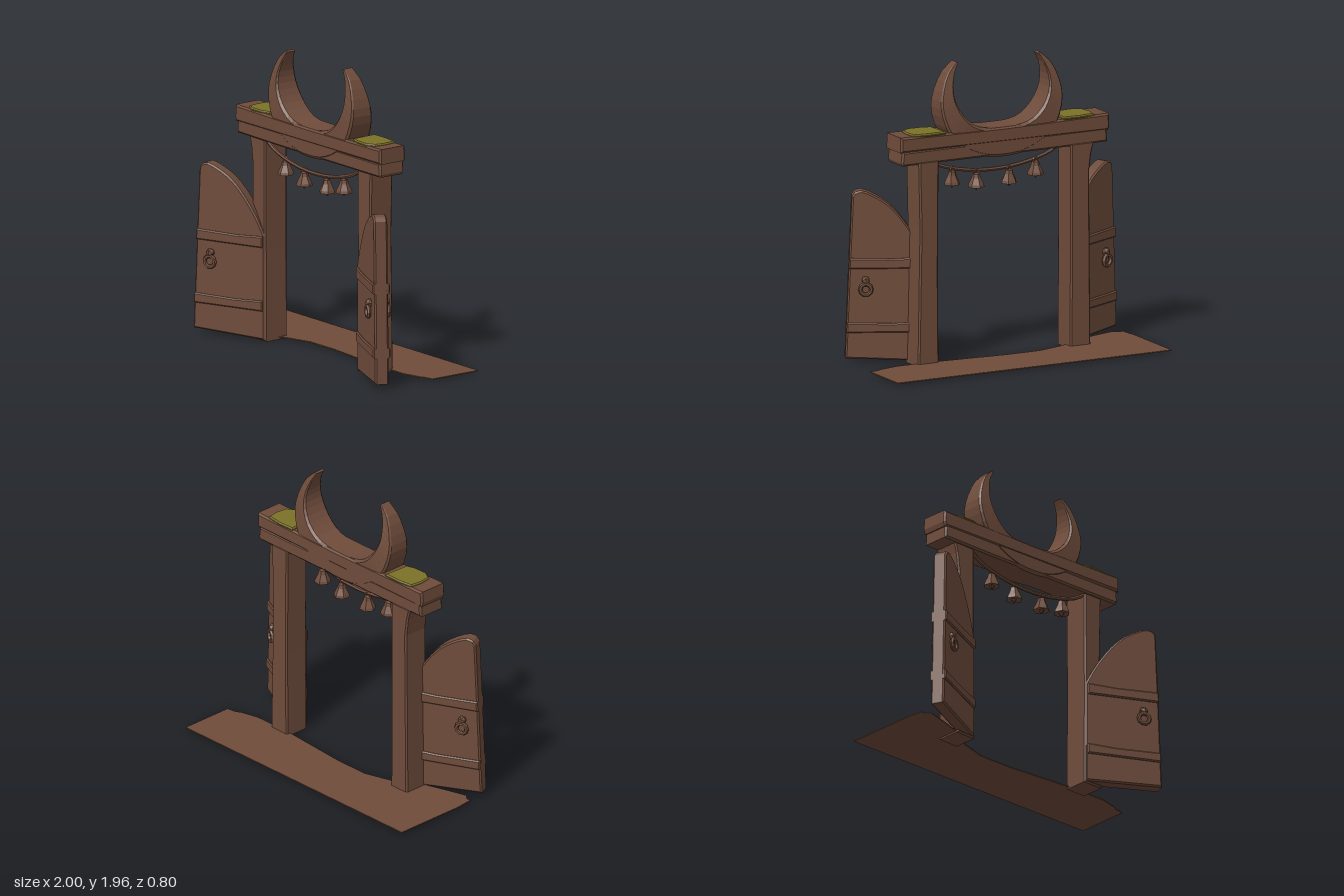
import * as THREE from 'three';

const mat = (name, color) => {
  const m = new THREE.MeshStandardMaterial({ color, flatShading: true });
  m.name = name;
  return m;
};
const V2 = (p) => new THREE.Vector2(p[0], p[1]);

export function createModel() {
  const model = new THREE.Group();
  model.name = 'moonGate';
  const wood = mat('brown wood', 0x6f4c3b);
  const moss = mat('olive moss', 0x7b7128);

  const add = (parent, name, geo, material, x = 0, y = 0, z = 0) => {
    const mesh = new THREE.Mesh(geo, material);
    mesh.name = name;
    mesh.position.set(x, y, z);
    parent.add(mesh);
    return mesh;
  };
  // Chamfered slab: outline in xy, reaching from z0 to z1
  const slab = (points, z0, z1, bevel = 0.01) => {
    const geo = new THREE.ExtrudeGeometry(new THREE.Shape(points.map(V2)), {
      depth: z1 - z0 - 2 * bevel, bevelEnabled: bevel > 0, bevelSegments: 1,
      bevelSize: bevel, bevelThickness: bevel, bevelOffset: -bevel,
    });
    return geo.translate(0, 0, z0 + bevel);
  };
  // Flat sheet: outline in xz, reaching from y0 to y1
  const sheet = (points, y0, y1, bevel = 0) =>
    slab(points.map(([x, z]) => [x, -z]), y0, y1, bevel).rotateX(-Math.PI / 2);

  // Ragged ground sheet
  add(model, 'groundSheet', sheet([
    [-1, -0.4], [1, -0.4], [1, -0.03], [0.94, -0.02], [0.9, 0], [0.78, 0.03], [0.5, 0.03],
    [0.25, 0.01], [0, -0.01], [-0.25, -0.01], [-0.45, 0.05], [-0.6, 0.15], [-0.78, 0.21],
    [-0.92, 0.25], [-0.96, 0.22], [-0.985, 0.23], [-1, 0.1],
  ], 0.011, 0.018), wood);

  // Posts
  add(model, 'rightPost', slab([
    [-0.48, 0], [-0.485, 0.6], [-0.485, 1.35], [-0.655, 1.35], [-0.635, 1.27], [-0.62, 1.15], [-0.63, 0],
  ], 0, 0.18), wood);
  add(model, 'leftPost', slab([
    [0.48, 0], [0.485, 0.6], [0.48, 1.35], [0.625, 1.35], [0.615, 0.9], [0.63, 0],
  ], 0, 0.18), wood);

  // Beam with a shallow split along its length
  add(model, 'beamLower', slab([
    [-0.755, 1.335], [-0.4, 1.33], [0.74, 1.33], [0.75, 1.35], [0.742, 1.425], [-0.75, 1.43],
  ], 0.004, 0.2, 0.012), wood);
  add(model, 'beamUpper', slab([
    [-0.76, 1.41], [-0.77, 1.44], [-0.765, 1.52], [0, 1.512], [0.755, 1.52], [0.758, 1.42],
  ], 0, 0.207, 0.012), wood);

  // Moss pads on the beam
  for (const side of [-1, 1]) {
    const pad = [[0.43, 0.0], [0.55, -0.004], [0.66, 0.01], [0.672, 0.09], [0.66, 0.17],
      [0.6, 0.205], [0.5, 0.2], [0.44, 0.18]];
    add(model, 'mossPad', sheet(pad.map(([x, z]) => [side * x, z]), 1.508, 1.53, 0.008), moss);
  }

  // Crescent swept from tip to tip, tapering in depth towards the tips
  const mirrored = (half) => new THREE.SplineCurve(
    [...half, ...half.slice(0, -1).reverse().map(([x, y]) => [-x, y])].map(V2));
  const outer = mirrored([[-0.306, 1.958], [-0.385, 1.88], [-0.437, 1.74], [-0.437, 1.62],
    [-0.38, 1.48], [-0.27, 1.385], [-0.13, 1.33], [0, 1.318]]);
  const inner = mirrored([[-0.292, 1.95], [-0.33, 1.88], [-0.35, 1.79], [-0.337, 1.7],
    [-0.285, 1.61], [-0.2, 1.54], [-0.1, 1.515], [0, 1.51]]);
  const section = [[1, 0.85], [0.9, 1], [0.1, 1], [0, 0.85], [0, -0.85], [0.1, -1], [0.9, -1], [1, -0.85]];
  const n = section.length, steps = 32, pos = [], idx = [];
  for (let i = 0; i <= steps; i++) {
    const o = outer.getPoint(i / steps), c = inner.getPoint(i / steps);
    const u = THREE.MathUtils.clamp(((o.y + c.y) / 2 - 1.5) / 0.45, 0, 1);
    const half = 0.1 - 0.066 * Math.pow(u, 1.7), zc = 0.103 + 0.015 * u;
    for (const [p, q] of section) {
      pos.push(o.x + (c.x - o.x) * p, o.y + (c.y - o.y) * p, zc + q * half);
    }
    if (i === steps) continue;
    for (let j = 0; j < n; j++) {
      const a = i * n + j, b = i * n + (j + 1) % n;
      idx.push(a, b, a + n, b, b + n, a + n);
    }
  }
  for (let j = 1; j < n - 1; j++) {
    idx.push(0, j + 1, j, steps * n, steps * n + j, steps * n + j + 1);
  }
  const moon = new THREE.BufferGeometry();
  moon.setAttribute('position', new THREE.Float32BufferAttribute(pos, 3));
  moon.setIndex(idx);
  moon.computeVertexNormals();
  add(model, 'crescent', moon, wood);

  // Open doors, swung forward from the posts
  for (const side of [-1, 1]) {
    const door = new THREE.Group();
    door.name = side > 0 ? 'leftDoor' : 'rightDoor';
    door.position.set(side * 0.487, 0, 0.185);
    door.rotation.y = -side * 0.427;
    model.add(door);
    const arch = new THREE.SplineCurve([[0.455, 1.125], [0.4, 1.135], [0.286, 1.08], [0.2, 1.01],
      [0.12, 0.91], [0.05, 0.8], [0, 0.7]].map(V2)).getPoints(14).map((p) => [p.x, p.y]);
    const outline = [[0, 0.01], [0.515, 0.035], [0.505, 0.3], [0.487, 0.75], [0.472, 1.1], ...arch];
    const flip = (pts) => pts.map(([x, y]) => [side * x, y]);
    add(door, 'doorPanel', slab(flip(outline), -0.09, 0, 0.01), wood);
    // Straps wrapping both faces
    for (const [y0, y1, end] of [[0.2, 0.27, 0.508], [0.62, 0.695, 0.492]]) {
      add(door, 'strap', slab(flip([[0.01, y0], [end, y0 + 0.005], [end - 0.003, y1], [0.2, y1 - 0.008],
        [0.01, y1]]), -0.102, 0.012, 0.008), wood);
    }
    // Ring pulls on both faces
    for (const z of [0.008, -0.098]) {
      const face = Math.sign(z);
      add(door, 'pullKnob', new THREE.IcosahedronGeometry(0.03, 0), wood, side * 0.385, 0.548, z);
      add(door, 'pullRing', new THREE.TorusGeometry(0.036, 0.014, 6, 10), wood,
        side * 0.385, 0.492, z + face * 0.012);
    }
  }

  // Sagging rope
  const rope = new THREE.CatmullRomCurve3([[-0.49, 1.33], [-0.42, 1.285], [-0.28, 1.24], [-0.1, 1.212],
    [0.1, 1.212], [0.28, 1.24], [0.42, 1.285], [0.49, 1.33]].map(([x, y]) => new THREE.Vector3(x, y, 0.155)));
  add(model, 'rope', new THREE.TubeGeometry(rope, 24, 0.013, 6), wood);

  // Bells with pointed clappers
  const bellProfile = [[0, 0.005], [0.036, 0.005], [0.054, 0], [0.05, 0.018], [0.03, 0.06], [0.024, 0.085], [0, 0.095]].map(V2);
  for (const [x, y, turn] of [[-0.305, 1.14, 0.2], [-0.112, 1.105, 0.5], [0.128, 1.105, 0], [0.305, 1.14, 0.4]]) {
    const bell = new THREE.Group();
    bell.name = 'bell';
    bell.position.set(x, y, 0.15);
    bell.rotation.y = turn;
    model.add(bell);
    add(bell, 'bellBody', new THREE.LatheGeometry(bellProfile, 6), wood);
    add(bell, 'bellClapper', new THREE.ConeGeometry(0.02, 0.032, 6).rotateX(Math.PI), wood, 0, -0.009, 0);
    add(bell, 'bellLoop', new THREE.TorusGeometry(0.016, 0.007, 5, 8), wood, 0, 0.1, 0);
  }
  return model;
}
